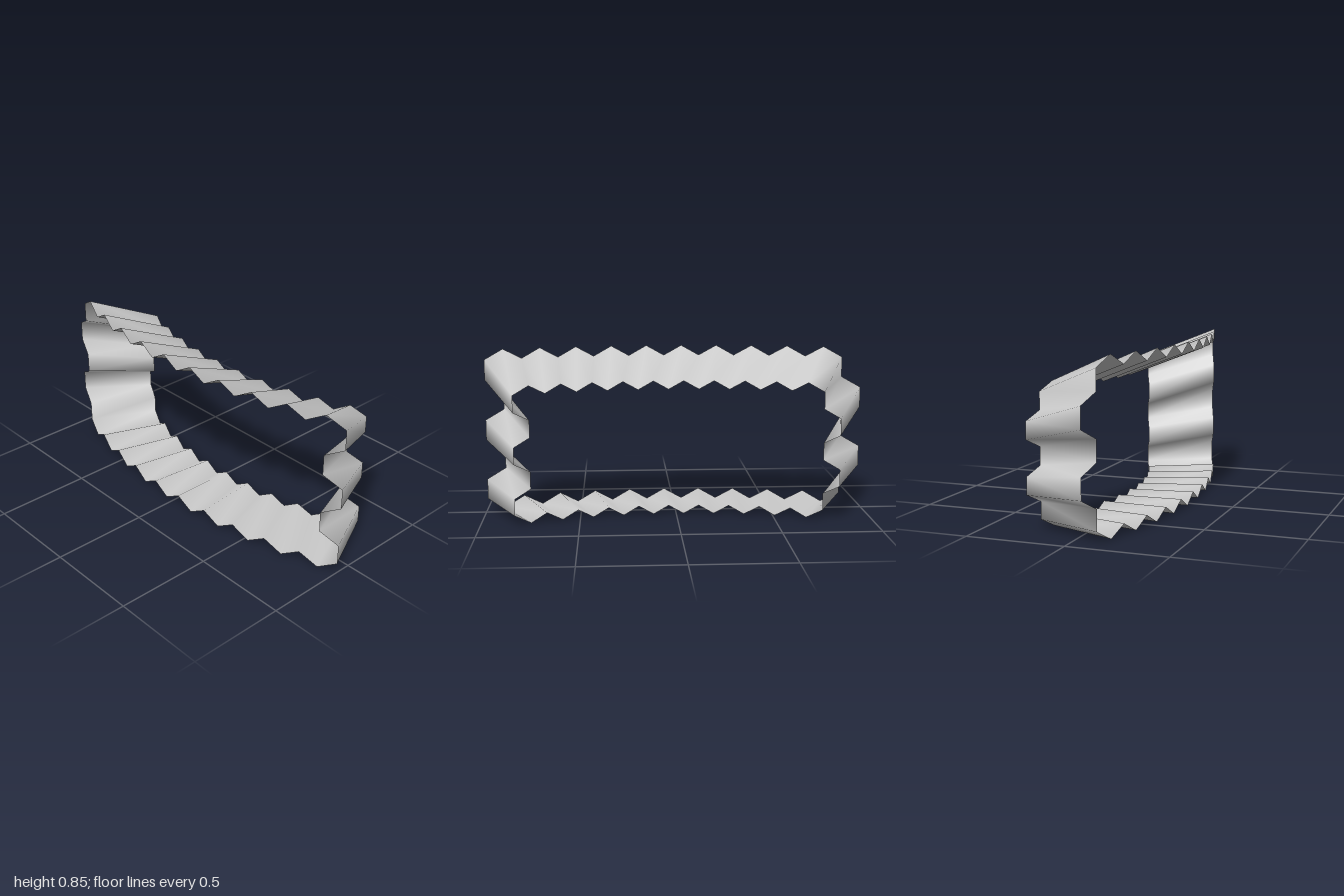
import * as THREE from 'three';

const W = 2 / 10.5;      // honeycomb cell width
const S = 0.1066;        // cell side length
const ROWS = 5, COLS = 10;
const TAPER = 0.825;     // back rim relative to front rim
const DEPTH = 0.3565;    // front rim to back rim
const ARC = 2.795;       // bend radius seen from above
const FRONT = 0.27;

// Closed zigzag outline of a honeycomb panel, counter-clockwise from the front
function honeycombOutline() {
  const pts = [];
  const top = S * (ROWS * 1.5 + 0.5);
  const left = (row) => -1 + (row % 2 === 0 ? W / 2 : 0);
  // bottom teeth
  for (let i = 0; i < COLS; i++) {
    if (i > 0) pts.push([left(0) + i * W, S / 2]);
    pts.push([left(0) + (i + 0.5) * W, 0]);
  }
  // right side, row by row upwards
  for (let r = 0; r < ROWS; r++) {
    const x = left(r) + COLS * W, y = S * (0.5 + 1.5 * r);
    pts.push([x, y], [x, y + S]);
  }
  // top teeth
  for (let i = COLS - 1; i >= 0; i--) {
    pts.push([left(0) + (i + 0.5) * W, top]);
    if (i > 0) pts.push([left(0) + i * W, top - S / 2]);
  }
  // left side, row by row downwards
  for (let r = ROWS - 1; r >= 0; r--) {
    const x = left(r), y = S * (0.5 + 1.5 * r);
    pts.push([x, y + S], [x, y]);
  }
  return pts;
}

export function createModel() {
  const outline = honeycombOutline();
  const n = outline.length;
  const position = [], index = [];

  // Front rim lies on an arc; back rim is the same rim shrunk and pushed back
  outline.forEach(([x, y], i) => {
    const z = FRONT - ARC + Math.sqrt(ARC * ARC - x * x);
    position.push(x, y, z, x * TAPER, y * TAPER, z - DEPTH);
    const a = 2 * i, b = 2 * ((i + 1) % n);
    index.push(a, a + 1, b, b, a + 1, b + 1);
  });

  const geometry = new THREE.BufferGeometry();
  geometry.setAttribute('position', new THREE.Float32BufferAttribute(position, 3));
  geometry.setIndex(index);
  geometry.computeVertexNormals();

  const frame = new THREE.Mesh(
    geometry,
    new THREE.MeshStandardMaterial({ color: 0xcccccc, side: THREE.DoubleSide })
  );
  frame.name = 'honeycombFrame';

  const group = new THREE.Group();
  group.name = 'curvedHoneycombFrame';
  group.add(frame);
  return group;
}
